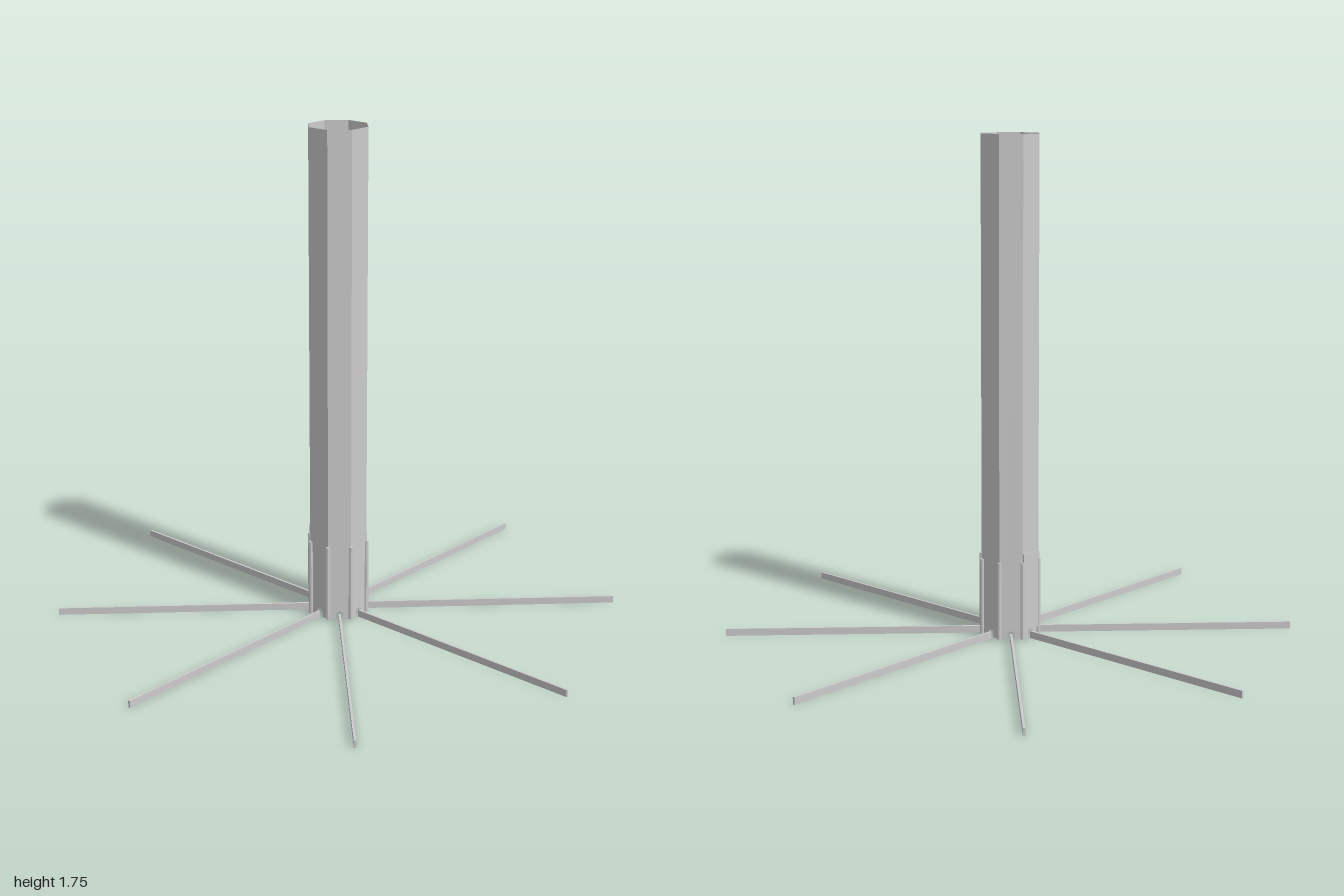
import * as THREE from 'three';

export function createModel() {
  const group = new THREE.Group();
  const mat = new THREE.MeshStandardMaterial({ color: 0xcccccc, side: THREE.DoubleSide, flatShading: true });
  const SIDES = 8, APOTHEM = 0.098, HALF = APOTHEM * Math.tan(Math.PI / SIDES), TOP = 1.75;

  const add = (parent, name, geometry, x, y, z) => {
    const mesh = new THREE.Mesh(geometry, mat);
    mesh.name = name;
    mesh.position.set(x, y, z);
    parent.add(mesh);
    return mesh;
  };

  // Flat wall panel with an arched notch at the foot
  const panel = new THREE.Shape();
  panel.moveTo(-HALF, 0.005);
  panel.lineTo(-0.013, 0.005);
  panel.lineTo(-0.013, 0.02);
  panel.absarc(0, 0.02, 0.013, Math.PI, 0, true);
  panel.lineTo(0.013, 0.005);
  panel.lineTo(HALF, 0.005);
  panel.lineTo(HALF, TOP);
  panel.lineTo(-HALF, TOP);
  const panelGeo = new THREE.ShapeGeometry(panel, 6);

  const spokeGeo = new THREE.BoxGeometry(0.008, 0.025, 0.9);
  const rodGeo = new THREE.CylinderGeometry(0.008, 0.008, 0.275, 8);

  // One wall panel, ground spoke and corner rod per side of the octagon
  for (let i = 0; i < SIDES; i++) {
    const side = new THREE.Group();
    side.name = 'side' + (i + 1);
    side.rotation.y = (i * 2 * Math.PI) / SIDES;
    add(side, 'wallPanel', panelGeo, 0, 0, APOTHEM);
    add(side, 'groundSpoke', spokeGeo, 0, 0.0125, 0.55);
    add(side, 'cornerRod', rodGeo, HALF, 0.1425, APOTHEM);
    group.add(side);
  }

  // Thin cover plate at the foot of the back panel
  add(group, 'backPlate', new THREE.BoxGeometry(0.078, 0.275, 0.006), 0, 0.1725, -0.099);

  return group;
}
